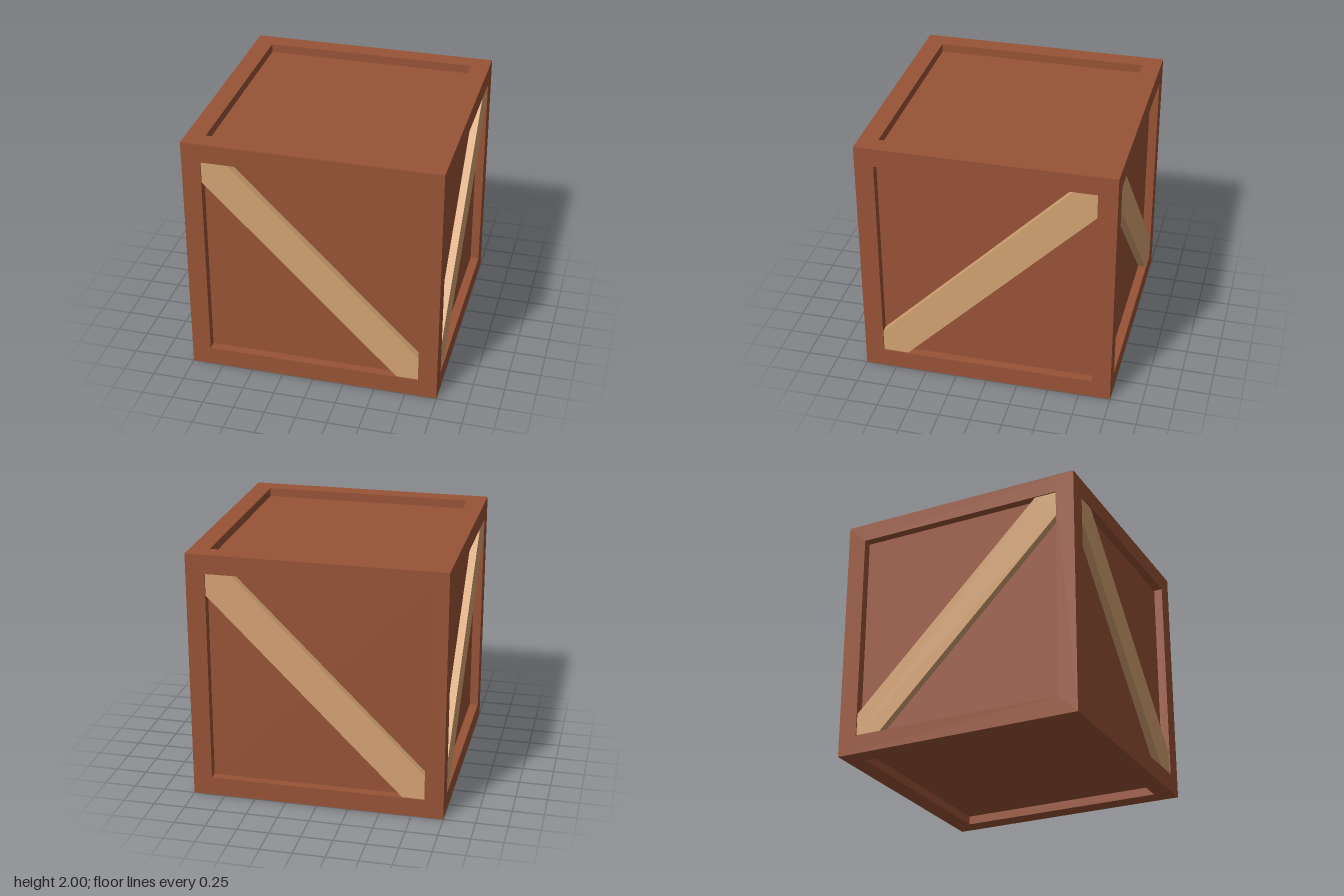
import * as THREE from 'three';

const HALF = 1, INNER = 0.85, DEPTH = 0.07, BRACE_GAP = 0.01;

export function createModel() {
  const crate = new THREE.Group();
  crate.name = 'crate';
  const wood = new THREE.MeshStandardMaterial({ color: 0x985337 });
  const recessWood = new THREE.MeshStandardMaterial({ color: 0x985337, side: THREE.BackSide, flatShading: true });
  const paleWood = new THREE.MeshStandardMaterial({ color: 0xd4a373 });

  const polygon = (points) => new THREE.Shape(points.map(([x, y]) => new THREE.Vector2(x, y)));
  const square = (s) => polygon([[-s, -s], [s, -s], [s, s], [-s, s]]);

  // Square border around each recessed panel
  const border = square(HALF);
  border.holes.push(square(INNER));
  const borderGeo = new THREE.ShapeGeometry(border).translate(0, 0, HALF);

  // Inward-facing walls of the recess: an open four-sided tube
  const wallGeo = new THREE.CylinderGeometry(INNER * Math.SQRT2, INNER * Math.SQRT2, DEPTH, 4, 1, true)
    .rotateY(Math.PI / 4)
    .rotateX(Math.PI / 2)
    .translate(0, 0, HALF - DEPTH / 2);

  const panelGeo = new THREE.PlaneGeometry(2 * INNER, 2 * INNER).translate(0, 0, HALF - DEPTH);

  // Diagonal plank between the lines y = s*x + low and y = s*x + high, clipped to the recess
  const braceGeo = (s, low, high) => {
    const i = INNER;
    const points = [[-i, -i], [i + low, -i], [i, -i], [i, i + low], [i, i], [i - high, i], [-i, i], [-i, high - i]];
    const plank = [points[0], [-i - low, -i], points[3], points[4], points[5], points[7]];
    const outline = plank.map(([x, y]) => [s * x, y]);
    return new THREE.ExtrudeGeometry(polygon(outline), { depth: DEPTH - BRACE_GAP, bevelEnabled: false })
      .translate(0, 0, HALF - DEPTH);
  };
  const falling = braceGeo(-1, -0.175, 0.2);
  const rising = braceGeo(1, -0.2, 0.18);

  const addSide = (name, rx, ry, brace) => {
    const side = new THREE.Group();
    side.name = name;
    const add = (part, geo, mat) => {
      const mesh = new THREE.Mesh(geo, mat);
      mesh.name = part;
      side.add(mesh);
    };
    add('border', borderGeo, wood);
    add('recessWalls', wallGeo, recessWood);
    add('panel', panelGeo, wood);
    if (brace) add('diagonalBrace', brace, paleWood);
    side.rotation.set(rx, ry, 0);
    side.position.y = HALF;
    crate.add(side);
  };

  const q = Math.PI / 2;
  addSide('frontSide', 0, 0, falling);
  addSide('leftSide', 0, q, rising);
  addSide('backSide', 0, 2 * q, falling);
  addSide('rightSide', 0, -q, rising);
  addSide('topSide', -q, 0);
  addSide('bottomSide', q, 0);
  return crate;
}
